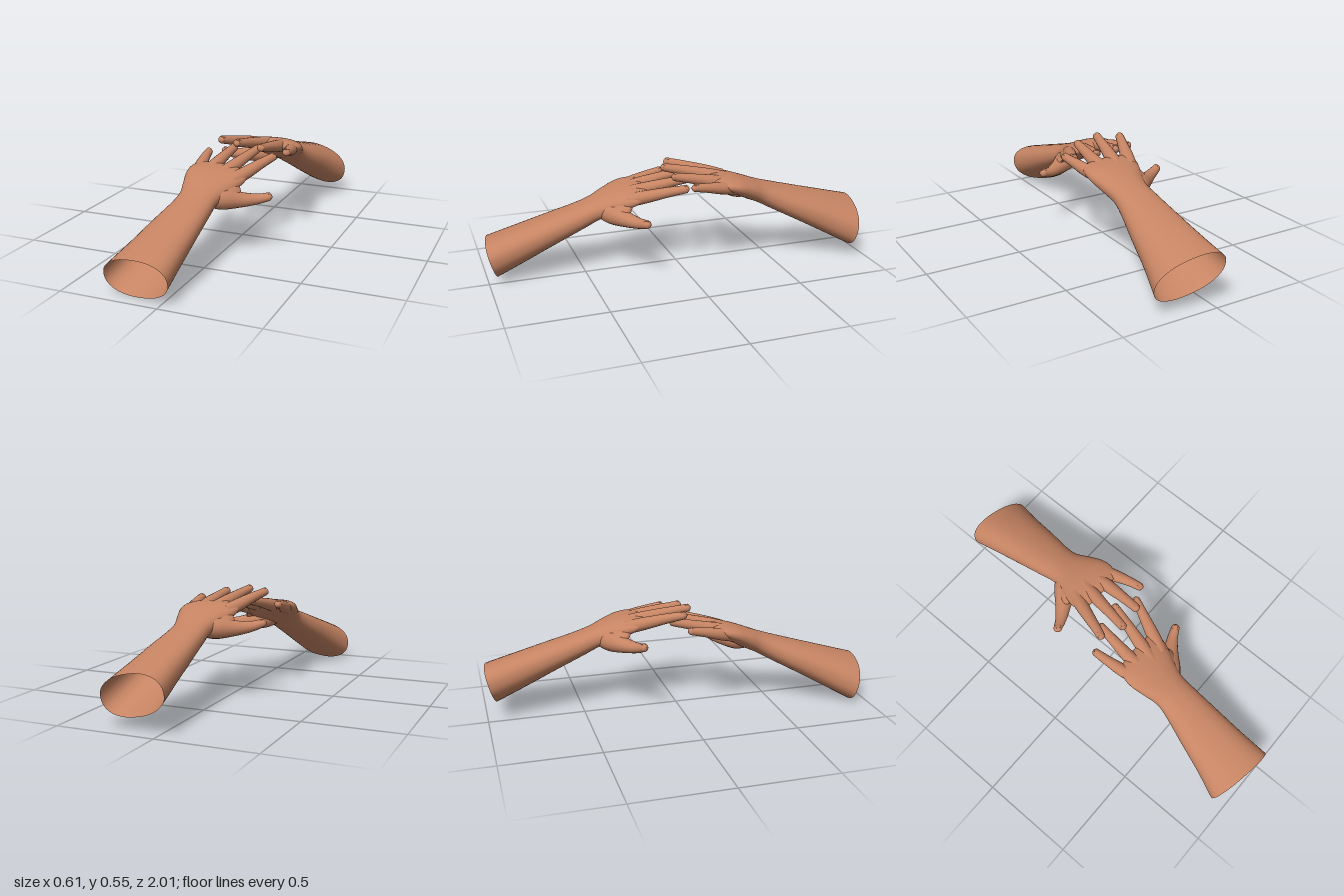
import * as THREE from 'three';

const skin = new THREE.MeshStandardMaterial({ color: 0xc68463, side: THREE.DoubleSide });
skin.name = 'skin';
const V = (x, y, z) => new THREE.Vector3(x, y, z);

// Smooth skin through cross-sections {c: centre, u: half width, v: half height}
function loft(sections, steps, sides, power = 2) {
  const curve = (k) => new THREE.CatmullRomCurve3(sections.map((s) => s[k]), false, 'catmullrom', 0.5);
  const [C, U, W] = ['c', 'u', 'v'].map(curve);
  const pos = [], index = [];
  const bulge = (t) => Math.sign(t) * Math.abs(t) ** (2 / power);
  for (let i = 0; i <= steps; i++) {
    const t = i / steps, c = C.getPoint(t), u = U.getPoint(t), w = W.getPoint(t);
    for (let j = 0; j < sides; j++) {
      const a = (j / sides) * Math.PI * 2;
      const p = c.clone().addScaledVector(u, bulge(Math.cos(a))).addScaledVector(w, bulge(Math.sin(a)));
      pos.push(p.x, p.y, p.z);
      if (i === steps) continue;
      const k = i * sides + j, n = i * sides + ((j + 1) % sides);
      index.push(k, k + sides, n, n, k + sides, n + sides);
    }
  }
  const g = new THREE.BufferGeometry();
  g.setAttribute('position', new THREE.Float32BufferAttribute(pos, 3));
  g.setIndex(index);
  g.computeVertexNormals();
  return g;
}

const toSections = (rows) => rows.map(([c, u, v]) => ({ c: V(...c), u: V(...u), v: V(...v) }));

function part(geometry, name) {
  const m = new THREE.Mesh(geometry, skin);
  m.name = name;
  return m;
}

// Tapered digit along a bent path, with a rounded tip and a thin nail
function digit(name, points, radii) {
  const path = new THREE.CatmullRomCurve3(points);
  const group = new THREE.Group();
  group.name = name;
  const frame = (t) => {
    const d = path.getTangent(t);
    const u = d.clone().cross(V(0, 1, 0)).normalize();
    return { d, u, v: u.clone().cross(d) };
  };
  const sections = [];
  const add = (c, f, r) => sections.push({
    c, u: f.u.clone().multiplyScalar(r), v: f.v.clone().multiplyScalar(r * 0.95),
  });
  points.forEach((p, i) => add(p.clone(), frame(i / (points.length - 1)), radii[i]));
  const end = points[points.length - 1], f = frame(1), r = radii[radii.length - 1];
  for (const a of [0.5, 0.95, 1.3, 1.57]) {
    add(end.clone().addScaledVector(f.d, r * Math.sin(a)), f, Math.max(r * Math.cos(a), 0.0005));
  }
  group.add(part(loft(sections, 32, 16), name + 'Flesh'));

  const nail = part(new THREE.SphereGeometry(1, 14, 8), name + 'Nail');
  nail.matrixAutoUpdate = false;
  nail.matrix.makeBasis(f.u, f.v, f.d.clone().negate())
    .scale(V(r * 0.6, r * 0.2, r * 0.8))
    .setPosition(end.clone().addScaledVector(f.v, r * 0.8).addScaledVector(f.d, -r * 0.1));
  group.add(nail);
  return group;
}

function createArm(name) {
  const arm = new THREE.Group();
  arm.name = name;

  // Open forearm, wrist and palm in one skin: centre, half width, half height
  const forearm = toSections([
    [[-0.127, 0.102, 0.96], [0.178, 0.018, 0.03], [0, 0.102, 0.03]],
    [[-0.106, 0.165, 0.81], [0.150, 0.010, 0.022], [0, 0.088, 0.028]],
    [[-0.086, 0.232, 0.65], [0.127, 0.004, 0.012], [0, 0.072, 0.024]],
    [[-0.067, 0.290, 0.51], [0.106, 0, 0.004], [0, 0.059, 0.02]],
    [[-0.060, 0.325, 0.43], [0.100, -0.004, 0], [0, 0.053, 0.015]],
    [[-0.056, 0.355, 0.36], [0.118, -0.012, 0], [0, 0.053, 0.012]],
    [[-0.048, 0.385, 0.29], [0.142, -0.016, 0], [0, 0.048, 0.008]],
    [[-0.038, 0.405, 0.23], [0.150, -0.015, 0], [0, 0.039, 0.004]],
    [[-0.034, 0.417, 0.19], [0.132, -0.012, 0], [0, 0.026, 0]],
    [[-0.034, 0.423, 0.168], [0.095, -0.008, 0], [0, 0.013, 0]],
    [[-0.034, 0.424, 0.162], [0.002, 0, 0], [0, 0.001, 0]],
  ]);
  arm.add(part(loft(forearm, 60, 40, 2.25), 'forearmAndPalm'));

  // Fingers: root, knuckle, middle joint, tip
  const fingers = {
    littleFinger: [[-0.135, 0.396, 0.27], [-0.157, 0.418, 0.185], [-0.172, 0.440, 0.10], [-0.180, 0.453, 0.035]],
    ringFinger: [[-0.080, 0.402, 0.27], [-0.083, 0.426, 0.175], [-0.073, 0.453, 0.06], [-0.063, 0.471, -0.03]],
    middleFinger: [[-0.020, 0.400, 0.27], [0.008, 0.424, 0.175], [0.040, 0.453, 0.05], [0.064, 0.472, -0.045]],
    indexFinger: [[0.050, 0.385, 0.27], [0.090, 0.407, 0.19], [0.138, 0.436, 0.08], [0.170, 0.452, 0.007]],
  };
  for (const [label, pts] of Object.entries(fingers)) {
    const s = label === 'littleFinger' ? 0.94 : 1;
    arm.add(digit(label, pts.map((p) => V(...p)), [0.038, 0.035, 0.027, 0.022].map((r) => r * s)));
  }

  // Thumb with its fleshy base
  const thumb = [[-0.035, 0.325, 0.41], [0.030, 0.315, 0.352], [0.105, 0.302, 0.300], [0.175, 0.300, 0.255], [0.230, 0.310, 0.230]];
  arm.add(digit('thumb', thumb.map((p) => V(...p)), [0.042, 0.058, 0.042, 0.029, 0.022]));

  // Web of skin between thumb and index finger
  const web = toSections([
    [[0.000, 0.345, 0.385], [0.030, -0.030, 0.010], [0.022, 0.022, 0]],
    [[0.050, 0.348, 0.325], [0.035, -0.042, 0.025], [0.024, 0.024, 0]],
    [[0.085, 0.348, 0.285], [0.028, -0.042, 0.025], [0.014, 0.014, 0]],
    [[0.095, 0.348, 0.268], [0.020, -0.036, 0.022], [0.001, 0.001, 0]],
  ]);
  arm.add(part(loft(web, 18, 20), 'thumbWeb'));
  return arm;
}

export function createModel() {
  const model = new THREE.Group();
  model.name = 'reachingHands';
  model.add(createArm('frontArm'));

  // Opposite arm: tilted about its cut end, raised, and turned to face the first
  const pivot = V(-0.127, 0.102, 0.96);
  const tilt = new THREE.Group();
  tilt.name = 'backArmTilt';
  const arm = createArm('backArm');
  arm.position.copy(pivot).negate();
  tilt.add(arm);
  tilt.rotation.set(-0.036, 0.01, 0.13);
  tilt.position.copy(pivot).add(V(0, 0.066, 0.002));
  const turned = new THREE.Group();
  turned.name = 'backArmTurn';
  turned.rotation.y = Math.PI;
  turned.add(tilt);
  model.add(turned);
  return model;
}
